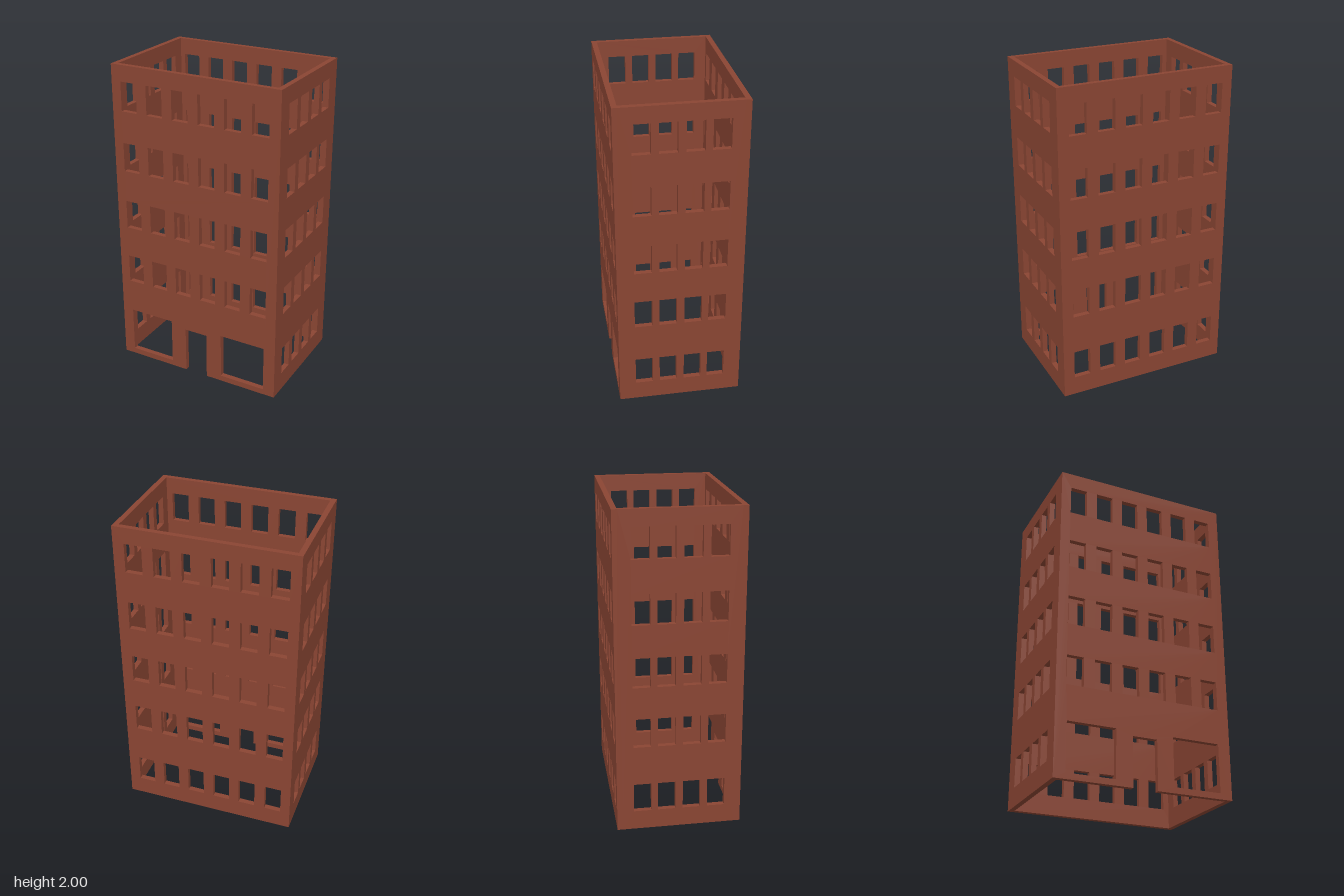
import * as THREE from 'three';

const HALF_W = 0.56, HALF_D = 0.385, HEIGHT = 2, WALL = 0.033;
const WIN_W = 0.108, WIN_H = 0.184;
const SILLS = [0.122, 0.556, 0.942, 1.328, 1.714];
const FRONT_X = [-0.443, -0.266, -0.091, 0.085, 0.26, 0.436];
const SIDE_Z = [-0.227, -0.078, 0.076, 0.228];

// Rectangular opening cut through a wall
function opening(x0, x1, y0, y1) {
  const p = new THREE.Path();
  p.moveTo(x0, y0).lineTo(x0, y1).lineTo(x1, y1).lineTo(x1, y0).closePath();
  return p;
}

// One window opening per centre on every listed floor
function windows(centres, sills) {
  return sills.flatMap(y => centres.map(c => opening(c - WIN_W / 2, c + WIN_W / 2, y, y + WIN_H)));
}

// Upright wall with holes and an optional doorway notch at the base
function wall(name, half, holes, material, door) {
  const s = new THREE.Shape();
  s.moveTo(-half, 0);
  if (door) s.lineTo(door.x0, 0).lineTo(door.x0, door.top).lineTo(door.x1, door.top).lineTo(door.x1, 0);
  s.lineTo(half, 0).lineTo(half, HEIGHT).lineTo(-half, HEIGHT).closePath();
  s.holes.push(...holes);
  const mesh = new THREE.Mesh(new THREE.ExtrudeGeometry(s, { depth: WALL, bevelEnabled: false }), material);
  mesh.name = name;
  return mesh;
}

export function createModel() {
  const group = new THREE.Group();
  group.name = 'buildingShell';
  const brick = new THREE.MeshStandardMaterial({ color: 0x8a4533 });
  brick.name = 'brick red';

  // Front wall: two shop openings and a doorway below four floors of windows
  const front = wall('frontWall', HALF_W, [
    ...windows(FRONT_X, SILLS.slice(1)),
    opening(-0.487, -0.185, 0.037, 0.337),
    opening(0.18, 0.483, 0.037, 0.337),
  ], brick, { x0: -0.08, x1: 0.075, top: 0.306 });
  front.position.z = HALF_D - WALL;

  // Back wall: windows on every floor
  const back = wall('backWall', HALF_W, windows(FRONT_X, SILLS), brick);
  back.position.z = -HALF_D;
  group.add(front, back);

  // Side walls fit between the front and back walls
  for (const side of [1, -1]) {
    const centres = SIDE_Z.map(z => -side * z);
    const mesh = wall(side > 0 ? 'leftWall' : 'rightWall', HALF_D - WALL, windows(centres, SILLS), brick);
    mesh.rotation.y = side * Math.PI / 2;
    mesh.position.x = side * (HALF_W - WALL);
    group.add(mesh);
  }
  return group;
}
